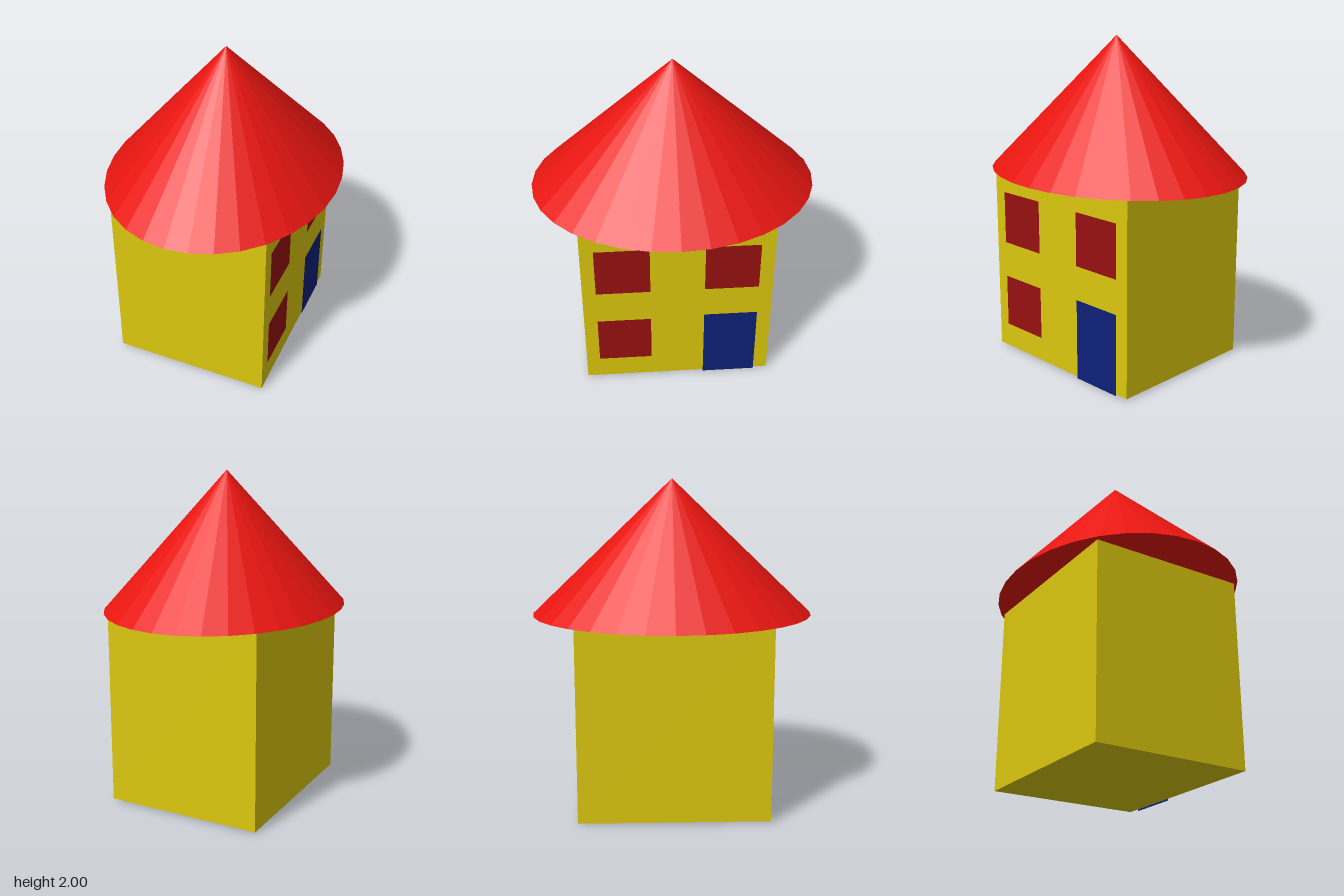
import * as THREE from 'three';

const material = (color, options = {}) => new THREE.MeshStandardMaterial({ color, ...options });

export function createModel() {
  const house = new THREE.Group();
  house.name = 'house';

  const add = (name, geometry, mat, x, y, z) => {
    const mesh = new THREE.Mesh(geometry, mat);
    mesh.name = name;
    mesh.position.set(x, y, z);
    house.add(mesh);
    return mesh;
  };

  const yellow = material(0xdcc80e);
  const red = material(0xe81510, { flatShading: true });
  const darkRed = material(0x981010, { side: THREE.DoubleSide });
  const blue = material(0x0e2077, { side: THREE.DoubleSide });

  // Walls: one plain block
  const wallX = 0.488;
  add('walls', new THREE.BoxGeometry(2 * wallX, 1.17, 1.145), yellow, 0, 0.595, 0.002);

  // Roof: faceted cone stretched to an oval
  const roofBase = 1.185;
  const roofHeight = 2 - roofBase;
  const roof = new THREE.ConeGeometry(1, roofHeight, 32);
  roof.scale(0.698, 1, 0.852);
  add('roof', roof, red, 0, roofBase + roofHeight / 2, 0);

  // Flat panels lying on the +x wall
  const panel = (name, mat, height, y, z) => {
    const geometry = new THREE.PlaneGeometry(0.326, height).rotateY(Math.PI / 2);
    add(name, geometry, mat, wallX + 0.003, y, z);
  };

  const frontZ = 0.33;
  const backZ = -0.323;
  panel('lowerWindow', darkRed, 0.326, 0.323, frontZ);
  panel('upperFrontWindow', darkRed, 0.326, 0.873, frontZ);
  panel('upperBackWindow', darkRed, 0.326, 0.873, backZ);
  panel('door', blue, 0.5, 0.25, backZ);

  return house;
}
